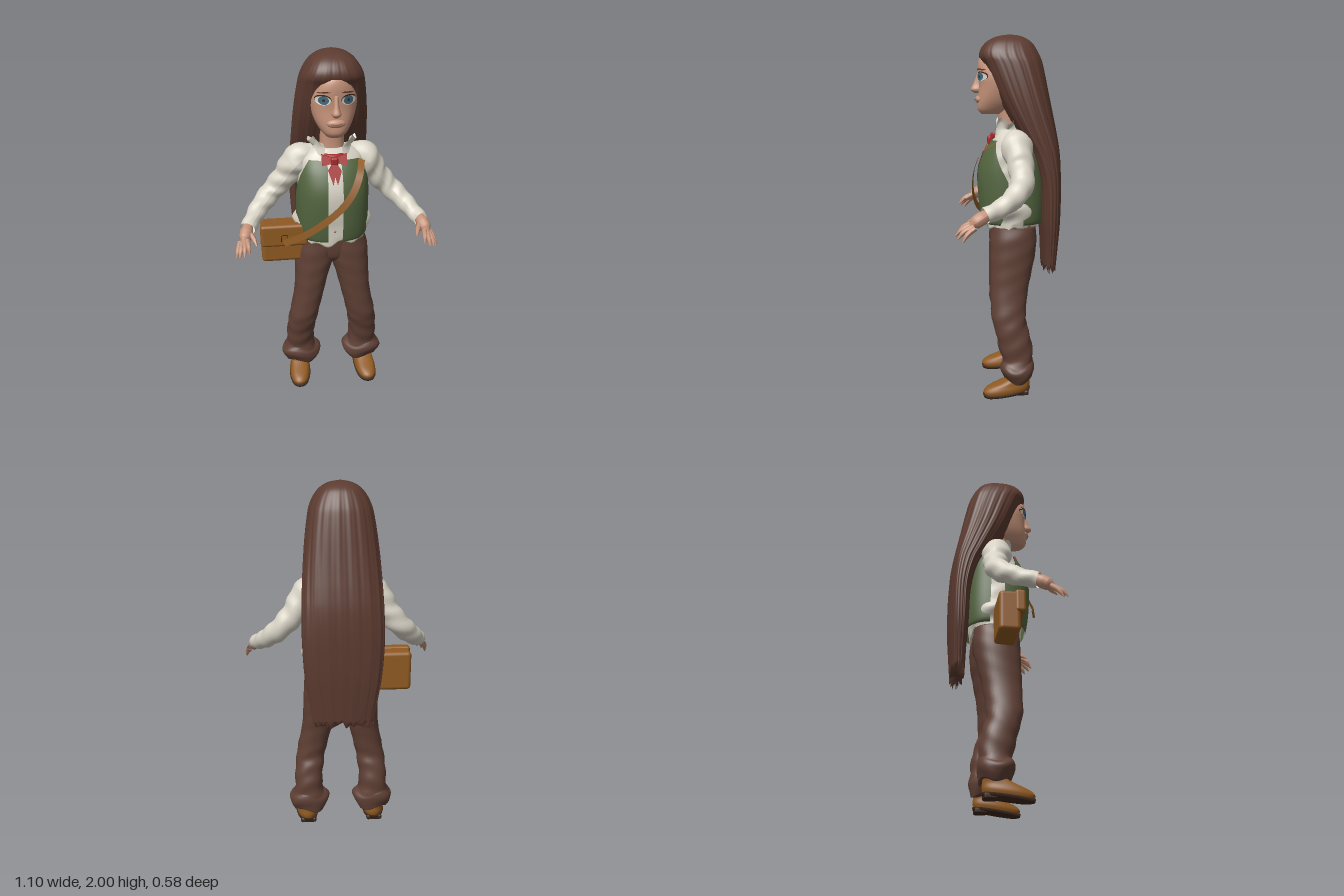
import * as THREE from 'three';
import { RoundedBoxGeometry } from 'three/addons/geometries/RoundedBoxGeometry.js';

const mat = (name, color) => {
  const m = new THREE.MeshStandardMaterial({ color, side: THREE.DoubleSide });
  m.name = name;
  return m;
};
const V = (x, y, z) => new THREE.Vector3(x, y, z);
const { sin, cos, abs, pow, PI, max } = Math;

// Smoothly interpolated cross-section [y, x0, x1, zFront, zBack] at ring index t
function section(rings, t) {
  const i = Math.min(Math.floor(t), rings.length - 2), f = t - i;
  const at = k => rings[Math.max(0, Math.min(rings.length - 1, k))];
  return rings[0].map((_, c) => {
    const [a, b, d, e] = [at(i - 1)[c], at(i)[c], at(i + 1)[c], at(i + 2)[c]];
    const m0 = (d - a) / 2, m1 = (e - b) / 2, f2 = f * f, f3 = f2 * f;
    return (2 * f3 - 3 * f2 + 1) * b + (f3 - 2 * f2 + f) * m0 + (3 * f2 - 2 * f3) * d + (f3 - f2) * m1;
  });
}

// Stack of superellipse sections, bottom to top; from/to (angles from the front) leave it open
function loft(rings, { n = 40, steps = 4, p = 2.3, from, to, wave = () => [1, 0] } = {}) {
  const open = from !== undefined, cols = open ? n + 1 : n, rows = (rings.length - 1) * steps;
  const pos = [], idx = [];
  for (let r = 0; r <= rows; r++) {
    const [y, x0, x1, zf, zb] = section(rings, r / steps);
    const a0 = open ? from(y) : 0, a1 = open ? to(y) : 2 * PI;
    for (let c = 0; c < cols; c++) {
      const a = a0 + (a1 - a0) * c / n, [k, dy] = wave(a, y, r / rows);
      const s = sin(a), q = cos(a);
      const m = pow(pow(abs(s), p) + pow(abs(q), p), -1 / p) * k;
      pos.push((x0 + x1) / 2 + (x1 - x0) / 2 * s * m, y + dy, (zf + zb) / 2 + (zf - zb) / 2 * q * m);
    }
  }
  for (let r = 0; r < rows; r++) for (let c = 0; c < n; c++) {
    const d = open ? c + 1 : (c + 1) % n, A = r * cols, B = A + cols;
    idx.push(A + c, A + d, B + d, A + c, B + d, B + c);
  }
  if (!open) for (const r of [0, rows]) {
    const [y, x0, x1, zf, zb] = section(rings, r / steps), k = pos.length / 3;
    pos.push((x0 + x1) / 2, y, (zf + zb) / 2);
    for (let c = 0; c < n; c++) {
      const A = r * n + c, B = r * n + (c + 1) % n;
      r ? idx.push(k, A, B) : idx.push(k, B, A);
    }
  }
  const g = new THREE.BufferGeometry();
  g.setAttribute('position', new THREE.Float32BufferAttribute(pos, 3));
  g.setIndex(idx);
  g.computeVertexNormals();
  return g;
}

// Tube whose radius follows a list of radii, with optional cloth folds
function taperTube(points, radii, seg = 10, n = 10, fold = 0) {
  const curve = new THREE.CatmullRomCurve3(points), g = new THREE.TubeGeometry(curve, seg, 1, n);
  const p = g.attributes.position, v = V();
  for (let i = 0; i < p.count; i++) {
    const ring = Math.floor(i / (n + 1)), t = ring / seg, a = (i % (n + 1)) / n * 2 * PI;
    const u = t * (radii.length - 1), k = Math.min(Math.floor(u), radii.length - 2);
    const r = THREE.MathUtils.lerp(radii[k], radii[k + 1], u - k) * (1 + fold * sin(t * 38 + 3 * sin(a)));
    const c = curve.getPointAt(t);
    v.fromBufferAttribute(p, i).sub(c).multiplyScalar(r).add(c);
    p.setXYZ(i, v.x, v.y, v.z);
  }
  g.computeVertexNormals();
  return g;
}

function bend(g, rule) {
  const p = g.attributes.position;
  for (let i = 0; i < p.count; i++) p.setXYZ(i, ...rule(p.getX(i), p.getY(i), p.getZ(i)));
  g.computeVertexNormals();
  return g;
}
const sym = rows => rows.map(([y, w, f, b]) => [y, -w, w, f, b]);

export function createModel() {
  const skin = mat('skin', 0xc49279), hairM = mat('hair', 0x5c3b30), cloth = mat('shirt white', 0xd9d4c6);
  const green = mat('vest green', 0x53653f), brown = mat('trouser brown', 0x5f4035), red = mat('scarf red', 0xa52a2a);
  const leather = mat('leather', 0x8f5a22), dark = mat('dark sole', 0x3c281d), blue = mat('iris blue', 0x41677f);
  const lip = mat('lip', 0xa87360);
  const model = new THREE.Group();
  const add = (name, geo, m, x = 0, y = 0, z = 0) => {
    const mesh = new THREE.Mesh(geo, m);
    mesh.name = name;
    mesh.position.set(x, y, z);
    model.add(mesh);
    return mesh;
  };

  // Head and neck
  const headRings = sym([[1.575, .045, .15, .03], [1.6, .07, .172, -.02], [1.65, .1, .172, -.06], [1.72, .122, .165, -.1],
    [1.78, .126, .168, -.12], [1.84, .106, .17, -.12], [1.885, .072, .155, -.1], [1.93, .04, .1, -.05]]);
  add('head', loft(headRings), skin);
  add('neck', loft(sym([[1.42, .075, .07, -.08], [1.5, .066, .058, -.075], [1.62, .066, .065, -.07]])), skin);
  add('nose', loft(sym([[1.69, .016, .19, .13], [1.708, .025, .21, .13], [1.74, .016, .195, .13], [1.8, .012, .172, .13]]), { n: 16 }), skin);
  const muzzle = add('muzzle', new THREE.SphereGeometry(1, 20, 12), skin, 0, 1.655, .16);
  muzzle.scale.set(.05, .024, .026);
  // Lips curve up into a smile
  const mouth = add('lips', bend(new THREE.SphereGeometry(1, 20, 12), (x, y, z) => [x * .045, y * .007 + x * x * .01, z * .022 - x * x * .008]),
    lip, 0, 1.654, .168);
  mouth.rotation.x = -.05;

  // Thin facial details that follow the face surface
  const faceZ = (x, y) => {
    let t = 0;
    while (t < 7 && section(headRings, t)[0] < y) t += .02;
    const [, , w, f, b] = section(headRings, t);
    return (f + b) / 2 + (f - b) / 2 * pow(max(0, 1 - pow(abs(x / w), 2.3)), 1 / 2.3);
  };
  const oval = (name, m, x, y, rx, ry, lift, tilt = 0) => {
    const shape = new THREE.Shape().absellipse(x, y, rx, ry, 0, 2 * PI, false, tilt);
    add(name, bend(new THREE.ShapeGeometry(shape, 14), (px, py) => [px, py, faceZ(px, py) + lift]), m);
  };
  for (const s of [-1, 1]) {
    oval('eyelid', dark, s * .066, 1.777, .041, .026, .004);
    oval('eyeWhite', cloth, s * .066, 1.774, .039, .023, .006);
    oval('iris', blue, s * .064, 1.775, .026, .022, .008);
    oval('pupil', dark, s * .064, 1.776, .007, .007, .0095);
    oval('eyebrow', hairM, s * .062, 1.814, .034, .004, .005, -s * .1);
  }

  // Long hair: cap over the skull running into a curtain down the back
  add('hair', loft(sym([[.72, .165, -.19, -.265], [.85, .185, -.185, -.275], [1, .208, -.175, -.285], [1.2, .218, -.165, -.287],
    [1.35, .215, -.12, -.28], [1.45, .212, -.06, -.265], [1.55, .206, 0, -.245], [1.65, .198, .055, -.225],
    [1.75, .187, .1, -.205], [1.84, .173, .138, -.185], [1.88, .162, .16, -.172], [1.92, .143, .155, -.152],
    [1.96, .112, .125, -.125], [1.988, .068, .075, -.08], [2, .015, .02, -.04]]), {
    n: 144, p: 2.6, wave: (a, y, t) => {
      const k = Math.min(1, (1 - t) * 2);
      return [1 + k * (.012 * sin(19 * a + sin(y * 4)) + .009 * sin(43 * a + y * 2)), t === 0 ? .014 * sin(23 * a) + .014 * sin(9 * a) : 0];
    },
  }), hairM);

  // Shirt body, hem and collar
  add('shirt', loft(sym([[.95, .185, .125, -.155], [1, .195, .13, -.165], [1.06, .22, .135, -.17], [1.12, .195, .145, -.175],
    [1.25, .185, .155, -.18], [1.36, .185, .125, -.165], [1.44, .165, .085, -.12], [1.49, .1, .06, -.09]]), {
    n: 64, p: 2.5, wave: (a, y, t) => [1 + .02 * sin(y * 60 + 3 * sin(2 * a)) * abs(sin(a)), t < .1 ? .014 * sin(9 * a) + .01 * sin(4 * a) : 0],
  }), cloth);
  add('collar', loft(sym([[1.45, .125, .085, -.1], [1.5, .1, .08, -.1], [1.54, .13, .08, -.115]]), {
    n: 48, from: () => .45, to: () => 2 * PI - .45, wave: (a, y, t) => [1 + .05 * t * cos(9 * a), t > .6 ? .018 * cos(7 * a) : 0],
  }), cloth);
  for (const [y, z] of [[1.03, .134], [1.15, .148]]) add('button', new THREE.SphereGeometry(.007, 10, 8), lip, 0, y, z);

  // Open vest: two front panels and a back
  const vestRings = sym([[.975, .185, .15, -.19], [1, .198, .158, -.198], [1.1, .203, .172, -.203], [1.25, .202, .178, -.2],
    [1.36, .197, .145, -.185], [1.435, .18, .1, -.14]]);
  const outer = y => 1.45 - max(0, y - 1.22) * 3.2 - max(0, 1.08 - y) * 3;
  const vest = (name, from, to) => add(name, loft(vestRings, { n: 28, p: 2.5, from, to }), green);
  vest('vestFrontLeft', () => .2, outer);
  vest('vestFrontRight', y => -outer(y), () => -.2);
  vest('vestBack', () => 1.85, () => 2 * PI - 1.85);

  // Neck scarf with knot and two tails
  const scarf = (pts) => bend(new THREE.ExtrudeGeometry(new THREE.Shape(pts.map(p => new THREE.Vector2(...p))),
    { depth: .014, bevelEnabled: false }), (x, y, z) => [x, y, z + .09 + (1.45 - y) * .42]);
  for (const s of [-1, 1]) {
    add('scarfWing', scarf([[0, 1.448], [s * .068, 1.468], [s * .066, 1.412], [0, 1.425]]), red);
    add('scarfTail', scarf([[0, 1.435], [s * .036, 1.385], [s * .012, 1.315], [-s * .006, 1.38]]), red);
  }
  add('scarfKnot', new RoundedBoxGeometry(.042, .045, .03, 3, .012), red, 0, 1.432, .105);
  const band = add('scarfBand', new THREE.TorusGeometry(.078, .013, 10, 32), red, 0, 1.462, .005);
  band.rotation.x = PI / 2 + .15;

  // Trouser seat, filling the valley between the legs
  add('trouserSeat', loft(sym([[.815, .03, .07, -.1], [.85, .11, .095, -.135], [.91, .17, .103, -.145], [.965, .18, .103, -.143]])), brown);

  const legRings = [[.1, .1, .275, .035, -.12], [.14, .075, .3, .055, -.13], [.175, .075, .305, .055, -.13], [.215, .105, .275, .045, -.125],
    [.3, .11, .272, .065, -.12], [.38, .1, .265, .085, -.1], [.45, .088, .255, .105, -.085], [.6, .052, .225, .11, -.1],
    [.72, .022, .216, .11, -.125], [.82, -.012, .212, .11, -.145], [.9, -.03, .206, .108, -.15], [.96, -.03, .19, .104, -.146]];
  const shoeRings = [[.014, .145, .26, .148, -.103], [.035, .14, .264, .153, -.108], [.06, .145, .258, .125, -.106],
    [.08, .148, .255, .06, -.104], [.1, .15, .253, .02, -.1], [.15, .155, .25, .01, -.095]];
  const soleRings = [[0, .142, .262, .152, -.106], [.016, .138, .267, .157, -.11]];

  for (const s of [-1, 1]) {
    const flip = rings => s > 0 ? rings : rings.map(([y, a, b, f, k]) => [y, -b, -a, f, k]);
    const side = s > 0 ? 'Left' : 'Right';
    const P = (x, y, z) => V(s * x, y, z);

    // Leg with cloth folds, strongest around knee and cuff
    add('trouserLeg' + side, loft(flip(legRings), {
      n: 36, steps: 6, wave: (a, y) => [1 + (y < .5 ? .026 : .008) * sin(y * 62 + 4 * sin(a * s + 1)), y < .2 ? .012 * sin(3 * a * s) : 0],
    }), brown);

    // Shoe, raised a little at the heel and turned out
    const pitch = g => bend(g, (x, y, z) => [x + s * .06 * z, y + (y < .1 ? .13 * max(0, .12 - z) : 0), z]);
    add('shoe' + side, pitch(loft(flip(shoeRings), { n: 32 })), leather);
    add('sole' + side, pitch(loft(flip(soleRings), { n: 32, steps: 1 })), dark);
    add('heel' + side, new RoundedBoxGeometry(.092, .03, .07, 2, .01), dark, s * .198, .026, -.065);

    // Sleeve and cuff
    add('sleeve' + side, taperTube([P(.09, 1.44, -.03), P(.175, 1.415, -.03), P(.255, 1.305, -.05), P(.335, 1.215, -.05),
      P(.41, 1.145, .015), P(.455, 1.102, .095), P(.478, 1.085, .145)], [.055, .085, .07, .062, .057, .048, .042], 60, 22, .055), cloth);

    // Hand with four fingers and a thumb
    add('palm' + side, taperTube([P(.474, 1.092, .13), P(.488, 1.066, .175), P(.505, 1.035, .225)], [.028, .036, .033, .004], 12, 14), skin);
    [[.473, 1, .278], [.5, .99, .292], [.526, .98, .28], [.543, .966, .255]].forEach(([x, y, z], i) => {
      const b = P(.483 + i * .013, 1.05 - i * .006, .215 - i * .007), e = P(x, y, z);
      const m = b.clone().lerp(e, .55).add(V(0, .008, .004));
      add('finger' + side, taperTube([b, m, e], [.015, .014, .012, .004], 9, 8), skin);
    });
    add('thumb' + side, taperTube([P(.475, 1.075, .165), P(.45, 1.058, .205), P(.434, 1.03, .25)], [.019, .015, .013, .003], 9, 8), skin);
  }

  // Satchel with overlapping flap and clasp
  add('bagBody', new RoundedBoxGeometry(.255, .228, .115, 4, .022), leather, -.277, .943, .007);
  add('bagFlap', new RoundedBoxGeometry(.266, .13, .06, 4, .018), leather, -.277, 1, .063);
  const clasp = add('bagClasp', new THREE.TorusGeometry(.025, .003, 6, 4), dark, -.277, .99, .095);
  clasp.rotation.z = PI / 4;

  // Strap: a flat ribbon across the chest
  const path = new THREE.CatmullRomCurve3([V(-.285, .982, .145), V(-.25, 1, .155), V(-.19, 1.03, .175), V(-.08, 1.105, .198), V(.03, 1.2, .203),
    V(.095, 1.29, .19), V(.13, 1.37, .155), V(.152, 1.428, .075)]);
  const pos = [], idx = [], N = 40;
  for (let i = 0; i <= N; i++) {
    const c = path.getPointAt(i / N), t = path.getTangentAt(i / N);
    const w = V(-t.y, t.x, -.25).normalize().multiplyScalar(.019);
    pos.push(c.x + w.x, c.y + w.y, c.z + w.z, c.x - w.x, c.y - w.y, c.z - w.z);
    if (i < N) idx.push(2 * i, 2 * i + 1, 2 * i + 3, 2 * i, 2 * i + 3, 2 * i + 2);
  }
  const strap = new THREE.BufferGeometry();
  strap.setAttribute('position', new THREE.Float32BufferAttribute(pos, 3));
  strap.setIndex(idx);
  strap.computeVertexNormals();
  add('bagStrap', strap, leather);

  return model;
}
